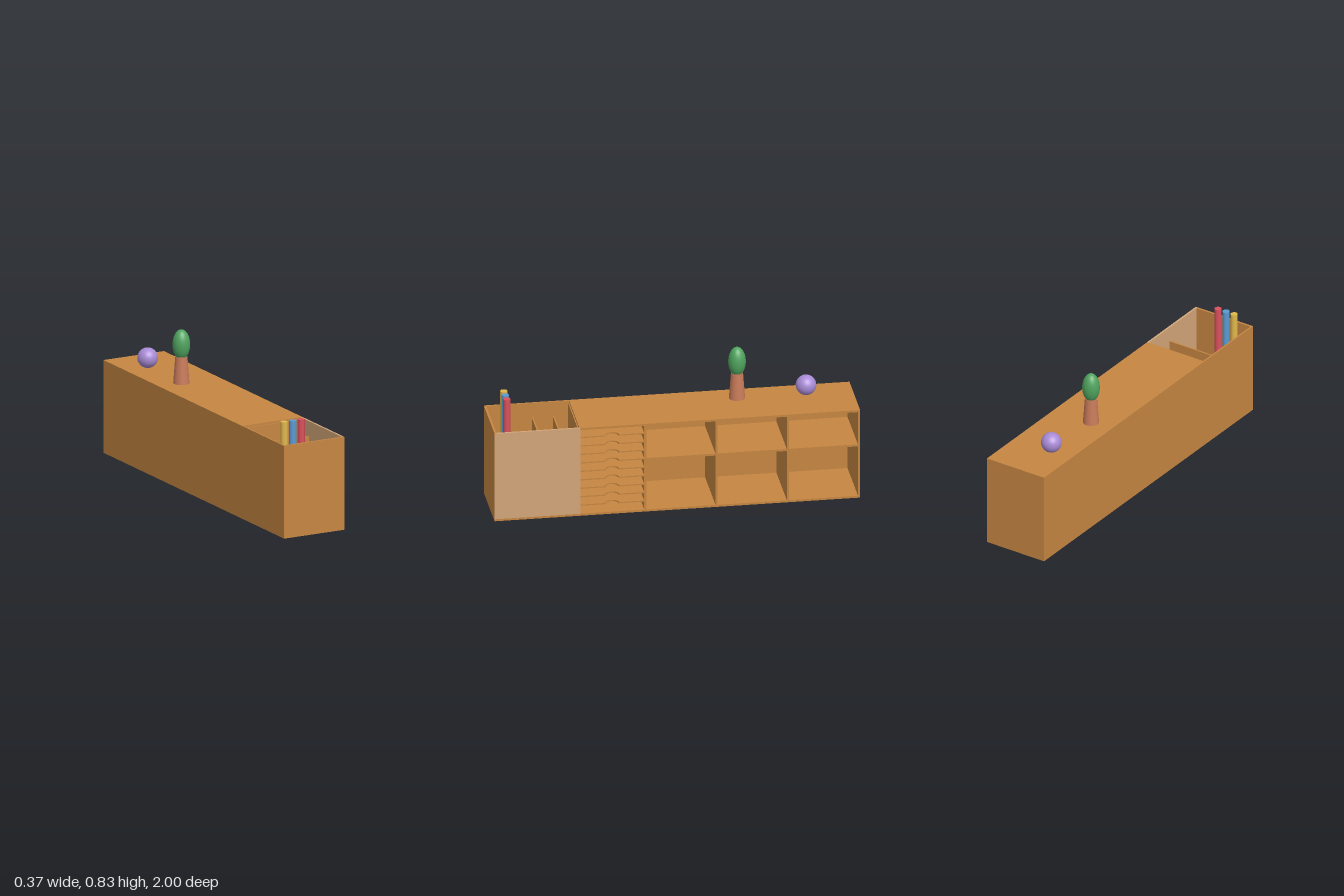
import * as THREE from 'three';

const mat = (color) => new THREE.MeshStandardMaterial({ color });

export function createModel() {
  const model = new THREE.Group();
  const wood = mat(0xc68642), tan = mat(0xd2a679);
  const T = 0.012, X = 0.187, TOP = 0.52, BACK = -0.178;

  const add = (name, geometry, material, x, y, z) => {
    const mesh = new THREE.Mesh(geometry, material);
    mesh.name = name;
    mesh.position.set(x, y, z);
    model.add(mesh);
    return mesh;
  };
  // Board given by its extents on each axis
  const board = (name, x0, x1, y0, y1, z0, z1, material = wood) =>
    add(name, new THREE.BoxGeometry(x1 - x0, y1 - y0, z1 - z0), material,
      (x0 + x1) / 2, (y0 + y1) / 2, (z0 + z1) / 2);

  // Carcass
  board('bottomPanel', -X, X, 0, T, -1, 1);
  board('backPanel', -X, BACK, T, TOP - T, -1, 0.535);
  board('binBackPanel', -X, BACK, T, TOP, 0.535, 1);
  board('topPanel', -X, X, TOP - T, TOP, -1, 0.535);
  board('rearEndPanel', BACK, X, T, TOP - T, -1, -1 + T);
  board('frontEndPanel', BACK, X, T, TOP, 1 - T, 1);

  // Upright partitions and the long shelf
  for (const z of [0.535, 0.175, -0.215, -0.605])
    board('partition', BACK, X - 0.001, T, TOP - T, z - T / 2, z + T / 2);
  board('longShelf', BACK, X - 0.002, 0.304, 0.316, -1 + T, 0.169);

  // Paper trays with a rounded finger notch in the open edge
  const z0 = 0.181, z1 = 0.529, zc = 0.355, notch = 0.036, edge = 0.182;
  const tray = new THREE.Shape();
  tray.moveTo(BACK, -z0);
  tray.lineTo(BACK, -z1);
  tray.lineTo(edge, -z1);
  tray.lineTo(edge, -zc - notch);
  tray.absarc(edge, -zc, notch, -Math.PI / 2, Math.PI / 2, true);
  tray.lineTo(edge, -z0);
  const trayGeometry = new THREE.ExtrudeGeometry(tray, { depth: 0.007, bevelEnabled: false, curveSegments: 12 });
  trayGeometry.rotateX(-Math.PI / 2);
  for (let i = 1; i <= 9; i++) add('paperTray', trayGeometry, wood, 0, 0.0065 + i * 0.0502, 0);

  // Open-topped bin: pale side panel and two lower dividers
  board('binSidePanel', 0.176, X + 0.0005, T, TOP, 0.53, 0.9995, tan);
  for (const z of [0.62, 0.735])
    board('binDivider', BACK, 0.176, T, 0.435, z - 0.004, z + 0.004);

  // Pens standing in the bin
  [0xe0b84c, 0x5b9bd5, 0xd9505c].forEach((color, i) =>
    add('pen', new THREE.CylinderGeometry(0.02, 0.02, 0.613, 16), mat(color), -0.131 + i * 0.0525, 0.3185, 0.9));

  // Potted plant
  add('plantPot', new THREE.CylinderGeometry(0.033, 0.044, 0.15, 24), mat(0xc97b5a), -0.06, 0.602, -0.365);
  add('plant', new THREE.SphereGeometry(0.048, 32, 24), mat(0x4fa35e), -0.06, 0.743, -0.365).scale.y = 1.75;

  // Ornament
  add('ball', new THREE.SphereGeometry(0.056, 32, 24), mat(0xa98bd6), -0.058, 0.578, -0.742);

  return model;
}
